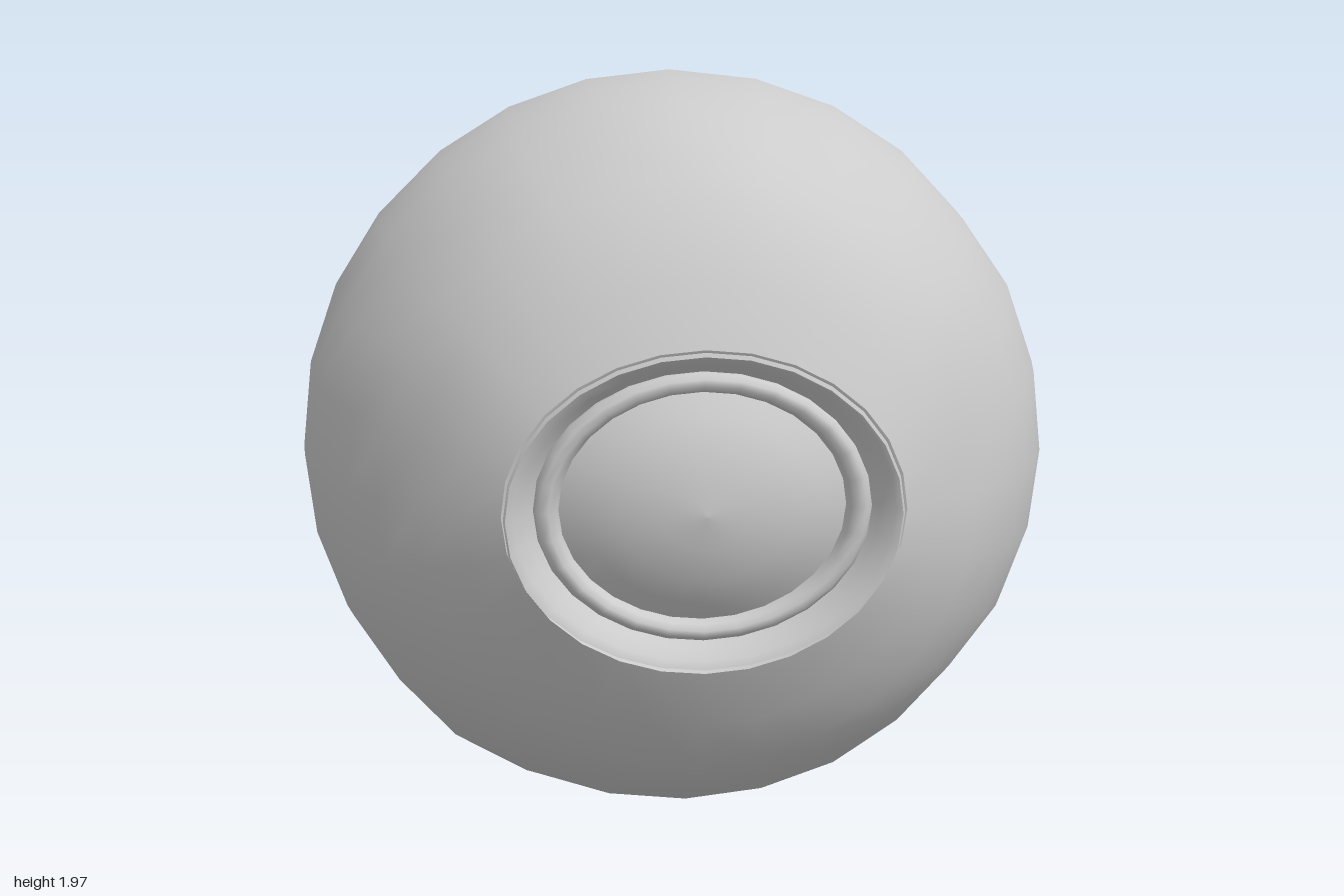
import * as THREE from 'three';
import { mergeVertices } from 'three/addons/utils/BufferGeometryUtils.js';

const SIDES = 28;

// Shallow bumps (+) and dents (-) on the shell: x, y, z, height, radius (y measured from the centre)
const BUMPS = [
  [0.60, 0.55, -0.64, 0.035, 0.14],
  [0.64, 0.30, -0.73, 0.025, 0.12],
  [0.72, 0.62, 0.10, -0.015, 0.16],
  [0.66, 0.10, 0.73, -0.02, 0.14],
  [-0.66, 0.10, 0.73, -0.02, 0.14],
  [-0.78, -0.15, 0.60, 0.015, 0.14],
  [-0.72, 0.50, 0.45, -0.025, 0.13],
  [0.00, 0.84, 0.53, 0.02, 0.15],
  [0.68, -0.60, 0.35, -0.02, 0.16],
  [0.78, -0.35, -0.50, -0.02, 0.16],
  [-0.55, -0.78, 0.25, 0.015, 0.15],
  [-0.60, -0.50, -0.60, -0.02, 0.18],
  [-0.20, -0.85, -0.45, -0.02, 0.17],
  [-0.65, 0.45, -0.58, 0.015, 0.16],
  [0.20, -0.50, -0.80, -0.015, 0.16],
];

const material = new THREE.MeshStandardMaterial({ color: 0xcccccc, side: THREE.DoubleSide });

// Turns a [radius, z] profile about the z axis
function turned(profile) {
  const points = profile.map(([r, z]) => new THREE.Vector2(r, z));
  return new THREE.LatheGeometry(points, SIDES).rotateX(Math.PI / 2);
}

// Round shell, open at the front where the eye sits
function shellGeometry() {
  const rings = 20;
  const rimAngle = Math.acos(0.91 / 1.03);
  const profile = [];
  for (let i = 0; i <= rings; i++) {
    const a = Math.PI + (rimAngle - Math.PI) * (i / rings);
    profile.push([i === 0 ? 0 : Math.sin(a), Math.cos(a)]);
  }
  const geometry = turned(profile);
  geometry.deleteAttribute('uv');
  geometry.deleteAttribute('normal');
  const pos = geometry.attributes.position;
  const p = new THREE.Vector3();
  const centre = new THREE.Vector3();
  for (let i = 0; i < pos.count; i++) {
    p.fromBufferAttribute(pos, i);
    // Fuller front, flatter back; the opening narrows to an oval
    p.z *= p.z > 0 ? 1.03 : 0.945;
    const squeeze = THREE.MathUtils.clamp((p.z - 0.8) / 0.11, 0, 1);
    p.x *= 0.995;
    p.y *= 0.985 * (1 - 0.175 * squeeze);
    let lift = 0;
    for (const [x, y, z, height, radius] of BUMPS) {
      const d = p.distanceTo(centre.set(x, y, z)) / radius;
      lift += height * Math.exp(-d * d);
    }
    p.multiplyScalar(1 + lift);
    pos.setXYZ(i, p.x, p.y, p.z);
  }
  const merged = mergeVertices(geometry, 1e-4);
  merged.computeVertexNormals();
  return merged;
}

export function createModel() {
  const model = new THREE.Group();
  model.name = 'roundBody';

  const add = (parent, name, geometry) => {
    const mesh = new THREE.Mesh(geometry, material);
    mesh.name = name;
    parent.add(mesh);
  };

  const body = new THREE.Group();
  body.name = 'body';
  body.position.y = 0.99;
  add(body, 'shell', shellGeometry());

  // Oval eye: sunken socket, raised ring and domed lens
  const eye = new THREE.Group();
  eye.name = 'eye';
  eye.position.y = 0.012;
  eye.scale.y = 0.81;
  add(eye, 'socket', turned([[0.475, 0.908], [0.45, 0.9], [0.42, 0.868], [0.395, 0.84]]));
  add(eye, 'ring', turned([[0.4, 0.84], [0.398, 0.87], [0.385, 0.886], [0.365, 0.888], [0.348, 0.875], [0.338, 0.84]]));
  add(eye, 'lens', turned([[0.345, 0.845], [0.28, 0.882], [0.2, 0.914], [0.1, 0.938], [0, 0.946]]));
  body.add(eye);

  model.add(body);
  return model;
}
